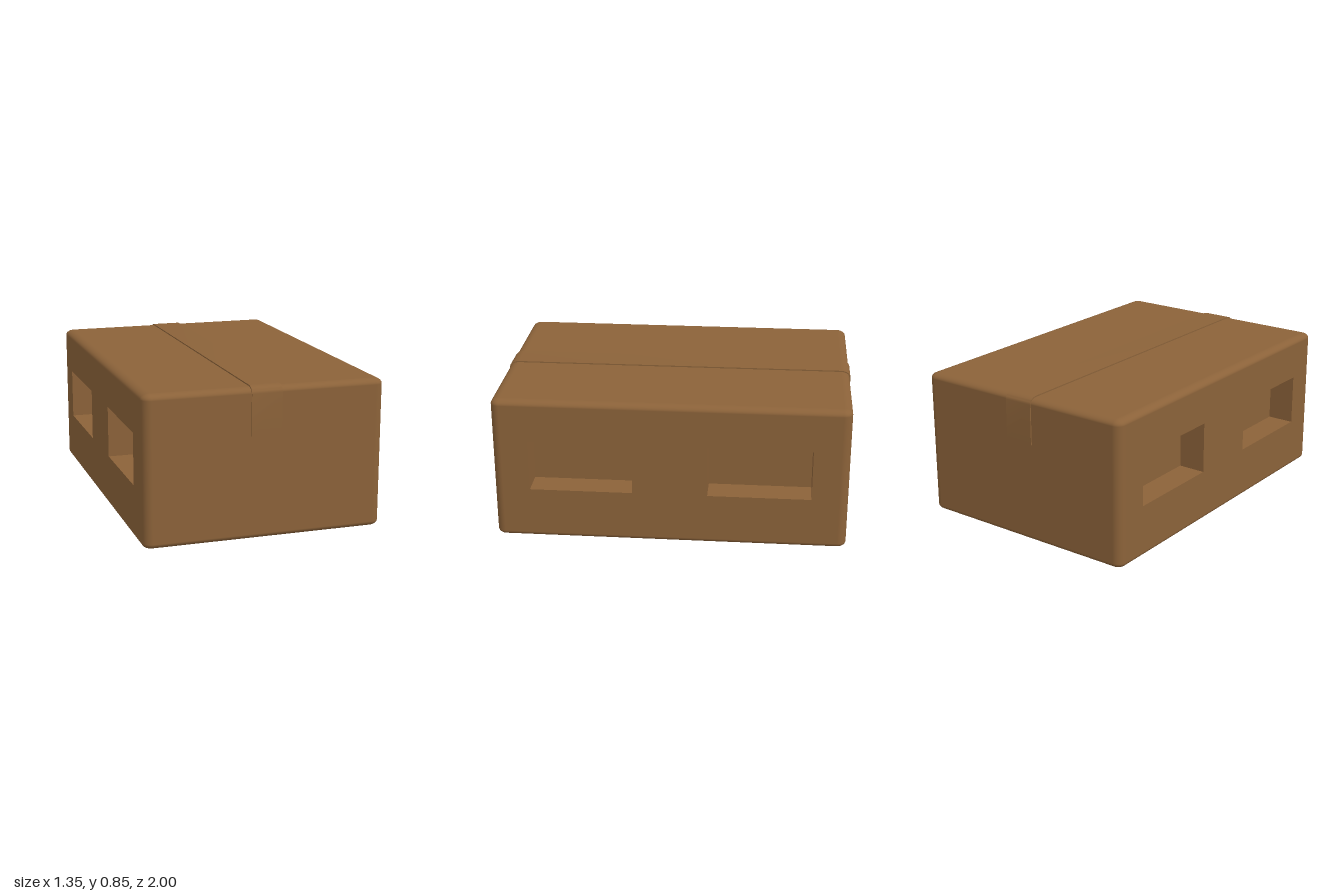
import * as THREE from 'three';
import { RoundedBoxGeometry } from 'three/addons/geometries/RoundedBoxGeometry.js';
import { toCreasedNormals } from 'three/addons/utils/BufferGeometryUtils.js';

const W = 1.35, H = 0.838, D = 1.986;   // carton size
const R = 0.05, RY = 0.032;             // edge radius, flattened in height
const HOLE = { w: 0.58, h: 0.292, y: 0.449, z: 0.5, depth: 0.157 };

// Rounded carton without the flat centre of its two side faces
function shellGeometry() {
  const k = RY / R;
  const geo = new RoundedBoxGeometry(W, H / k, D, 5, R);
  geo.scale(1, k, 1);
  const pos = geo.attributes.position, keep = [];
  for (let i = 0; i < pos.count; i += 3) {
    const flat = [0, 1, 2].every((j) => Math.abs(pos.getX(i + j)) > W / 2 - 1e-5);
    if (!flat) keep.push(i, i + 1, i + 2);
  }
  geo.setIndex(keep);
  geo.clearGroups();
  return geo.translate(0, H / 2, 0);
}

function rectangle(PathType, cx, cy, w, h) {
  return new PathType([[-1, -1], [1, -1], [1, 1], [-1, 1]].map(
    ([a, b]) => new THREE.Vector2(cx + a * w / 2, cy + b * h / 2)));
}

// Flat side wall with two rectangular openings
function sideGeometry() {
  const wall = rectangle(THREE.Shape, 0, H / 2, D - 2 * R, H - 2 * RY);
  for (const s of [-1, 1]) wall.holes.push(rectangle(THREE.Path, s * HOLE.z, HOLE.y, HOLE.w, HOLE.h));
  return new THREE.ShapeGeometry(wall).rotateY(Math.PI / 2).translate(W / 2, 0, 0);
}

// Inward-facing box, open on +x
function pocketGeometry() {
  const geo = new THREE.BoxGeometry(HOLE.depth, HOLE.h, HOLE.w);
  geo.setIndex(Array.from(geo.index.array).slice(6).reverse());
  geo.clearGroups();
  const n = geo.attributes.normal;
  for (let i = 0; i < n.count; i++) n.setXYZ(i, -n.getX(i), -n.getY(i), -n.getZ(i));
  return geo;
}

// Tape strip folded over the top and down both ends
function tapeGeometry() {
  const t = 0.007, low = 0.577, width = 0.17;
  const edge = (grow) => {
    const pts = [new THREE.Vector2(D / 2 + grow, low)];
    for (const s of [1, -1]) {
      for (let i = 0; i <= 8; i++) {
        const a = (s > 0 ? i : 8 - i) / 8 * Math.PI / 2;
        pts.push(new THREE.Vector2(
          s * (D / 2 - R + (R + grow) * Math.cos(a)),
          H - RY + (RY + grow) * Math.sin(a)));
      }
    }
    pts.push(new THREE.Vector2(-D / 2 - grow, low));
    return pts;
  };
  const shape = new THREE.Shape([...edge(t), ...edge(-0.002).reverse()]);
  const geo = new THREE.ExtrudeGeometry(shape, { depth: width, bevelEnabled: false });
  geo.translate(0, 0, -width / 2).rotateY(Math.PI / 2);
  return toCreasedNormals(geo, 0.6);
}

export function createModel() {
  const model = new THREE.Group();
  model.name = 'cardboardBox';
  const cardboard = new THREE.MeshStandardMaterial({ color: 0x8b6239 });
  cardboard.name = 'cardboard brown';

  const add = (parent, name, geo) => {
    const mesh = new THREE.Mesh(geo, cardboard);
    mesh.name = name;
    parent.add(mesh);
    return mesh;
  };

  add(model, 'carton', shellGeometry());
  add(model, 'tape', tapeGeometry());

  // Both sides are the same, turned half round
  const wall = sideGeometry(), pocket = pocketGeometry();
  ['left', 'right'].forEach((side, i) => {
    const group = new THREE.Group();
    group.name = side + 'Side';
    group.rotation.y = i * Math.PI;
    add(group, 'sideWall', wall);
    for (const s of [-1, 1]) {
      add(group, 'handleRecess', pocket).position.set(W / 2 - HOLE.depth / 2, HOLE.y, s * HOLE.z);
    }
    model.add(group);
  });

  return model;
}
